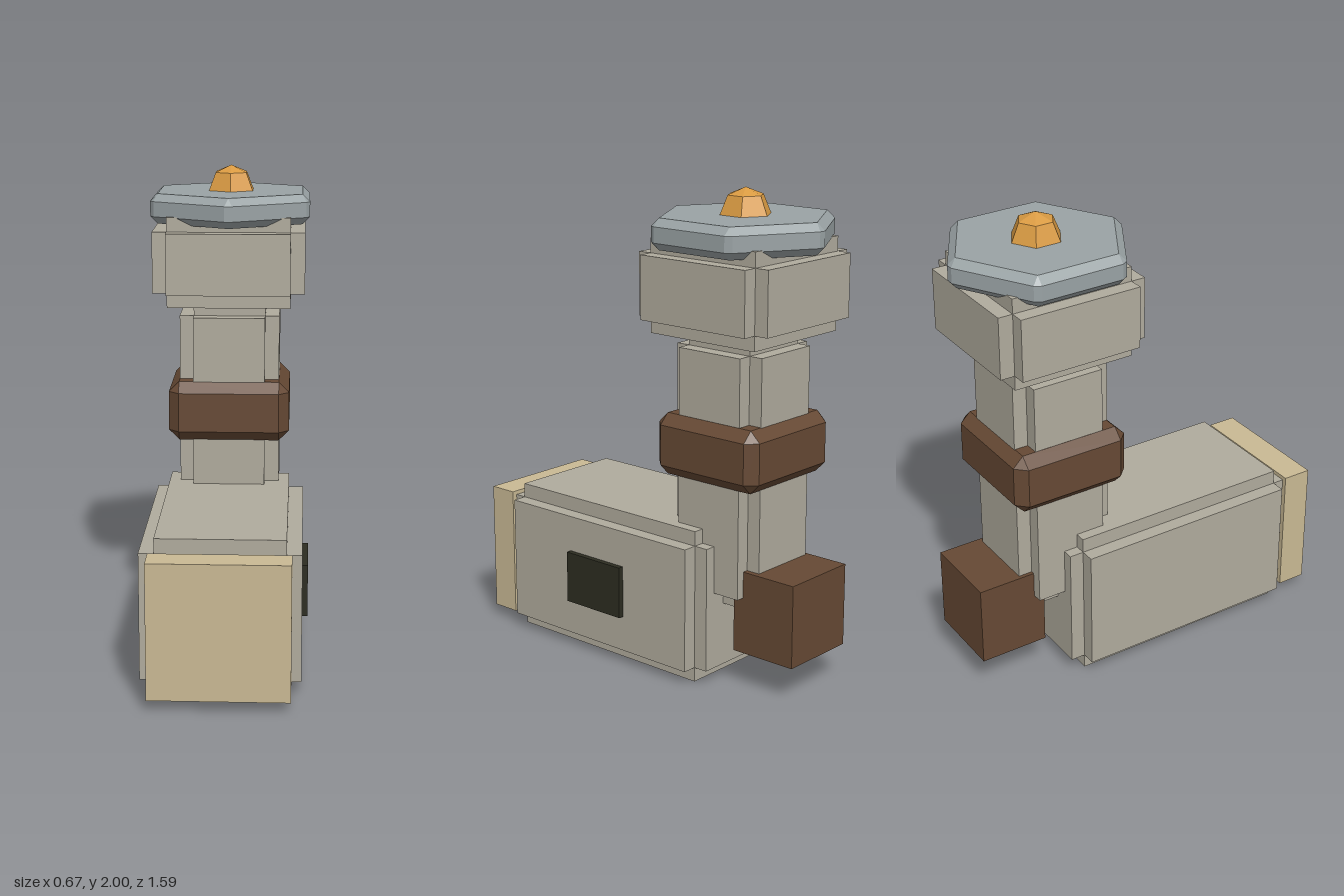
import * as THREE from 'three';
import { ConvexGeometry } from 'three/addons/geometries/ConvexGeometry.js';

const mat = (name, color) => {
  const m = new THREE.MeshStandardMaterial({ color });
  m.name = name;
  return m;
};

export function createModel() {
  const model = new THREE.Group();
  const stone = mat('stone', 0xb0ab9d);
  const cream = mat('cream', 0xc9b994);
  const brown = mat('brown', 0x664934);
  const dark = mat('dark', 0x2d2d21);
  const steel = mat('steel', 0x9aa3a5);
  const gold = mat('gold', 0xd99a42);
  const CX = -0.007; // shared axis of the body
  const CZ = -0.387; // shared axis of the column

  const add = (parent, name, geometry, material, x, y, z) => {
    const mesh = new THREE.Mesh(geometry, material);
    mesh.name = name;
    mesh.position.set(x, y, z);
    parent.add(mesh);
    return mesh;
  };
  const box = (parent, name, material, [w, h, d], [x, y, z]) =>
    add(parent, name, new THREE.BoxGeometry(w, h, d), material, x, y, z);

  // Block with stepped edges: three crossing boxes, each extended along one axis
  const steppedBlock = (name, size, step, centre) => {
    const group = new THREE.Group();
    group.name = name;
    ['Sides', 'TopBottom', 'FrontBack'].forEach((suffix, axis) => {
      const s = size.map((v, i) => (i === axis ? v : v - 2 * step));
      box(group, name + suffix, stone, s, centre);
    });
    model.add(group);
  };

  // Regular prism with every edge chamfered by b; r is the radius of its flat ends
  const chamferedPrism = (sides, r, b, height, turn) => {
    const points = [];
    for (let i = 0; i < sides; i++) {
      const a = turn + (i / sides) * Math.PI * 2;
      const x = r * Math.sin(a), z = r * Math.cos(a);
      for (const s of [-1, 1]) {
        points.push(new THREE.Vector3(x, s * height / 2, z));
        for (const k of [-1, 1]) {
          const n = a + k * Math.PI / sides;
          points.push(new THREE.Vector3(x + b * Math.sin(n), s * (height / 2 - b), z + b * Math.cos(n)));
        }
      }
    }
    return new ConvexGeometry(points);
  };

  // Horizontal body with end plate and side window
  steppedBlock('body', [0.64, 0.645, 1.1], 0.061, [CX, 0.326, 0.13]);
  box(model, 'frontPlate', cream, [0.56, 0.555, 0.125], [-0.006, 0.327, 0.732]);
  box(model, 'sideWindow', dark, [0.04, 0.22, 0.3], [0.316, 0.325, 0.13]);

  // Upright column, its collar and the block behind its foot
  steppedBlock('column', [0.425, 1.105, 0.43], 0.06, [CX, 0.882, CZ]);
  add(model, 'collar', chamferedPrism(4, 0.213 * Math.SQRT2, 0.044, 0.255, Math.PI / 4), brown, CX, 0.972, CZ);
  box(model, 'rearBlock', brown, [0.345, 0.345, 0.295], [-0.003, 0.327, -0.643]);

  // Head block and hexagonal lid
  steppedBlock('head', [0.64, 0.38, 0.645], 0.061, [CX, 1.615, CZ]);
  add(model, 'lid', chamferedPrism(6, 0.351, 0.031, 0.125, 0), steel, -0.004, 1.832, CZ);

  // Faceted knob
  const knob = [new THREE.Vector3(0, 0.107, 0)];
  for (const [r, y] of [[0.108, 0], [0.075, 0.077]]) {
    for (let i = 0; i < 6; i++) {
      const a = (i / 6) * Math.PI * 2;
      knob.push(new THREE.Vector3(r * Math.sin(a), y, r * Math.cos(a)));
    }
  }
  add(model, 'knob', new ConvexGeometry(knob), gold, -0.006, 1.893, CZ - 0.003);

  return model;
}
